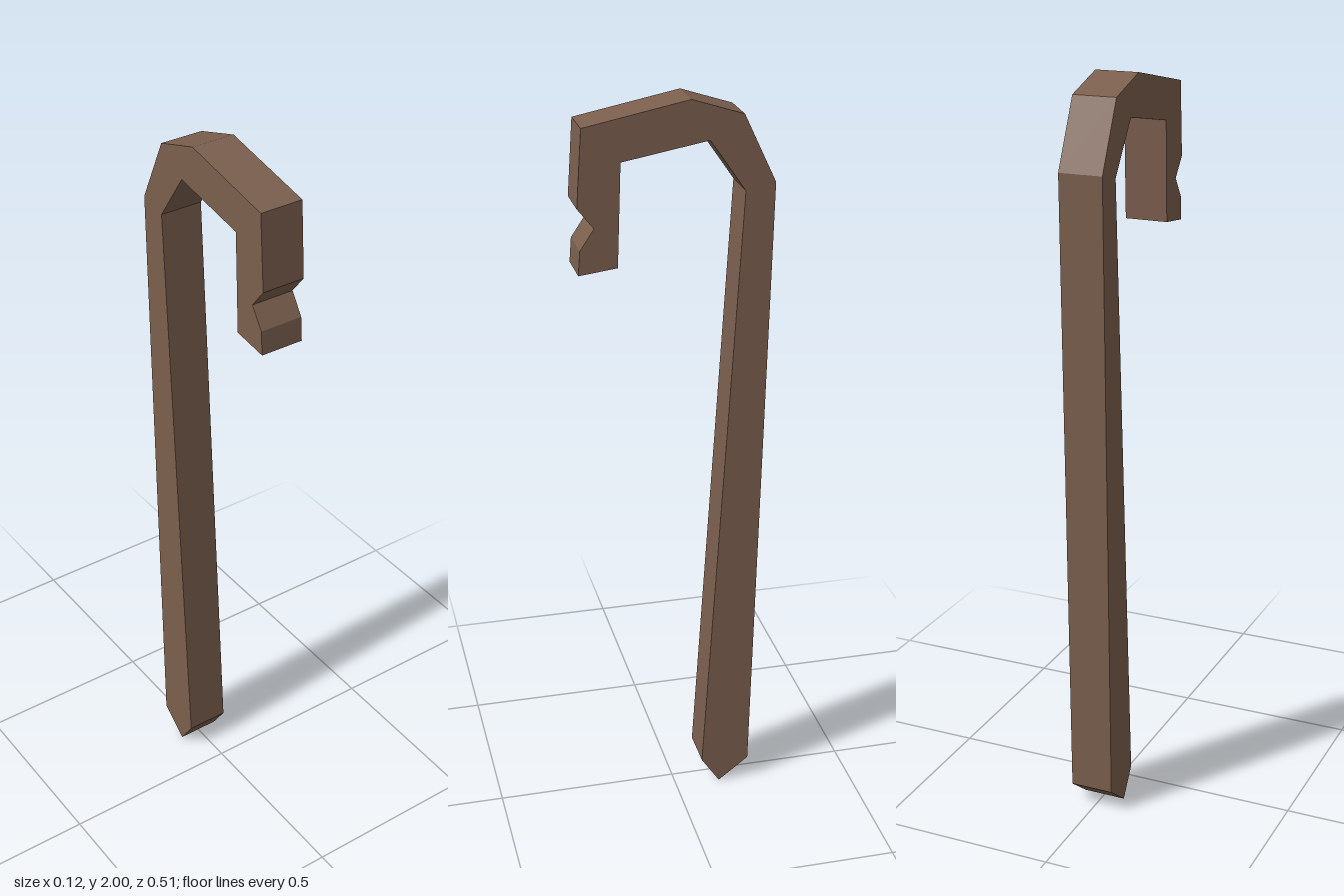
import * as THREE from 'three';

export function createModel() {
  const group = new THREE.Group();
  group.name = 'cane';

  const wood = new THREE.MeshStandardMaterial({ color: 0x7b5f4e });
  wood.name = 'brown wood';

  // Side outline of the cane as [z, y]
  const outline = [
    // outer edge: over the hook and down the back of the shaft
    [0.24, 1.945], [-0.035, 2], [-0.17, 1.957], [-0.254, 1.78], [-0.211, 0.066],
    // pointed foot
    [-0.126, 0], [-0.075, 0.077],
    // inner edge: up the shaft and under the hook
    [-0.176, 1.762], [-0.083, 1.896], [0.143, 1.855], [0.153, 1.586],
    // hook tip with its notch
    [0.254, 1.573], [0.249, 1.637], [0.212, 1.692], [0.254, 1.745],
  ];
  const shape = new THREE.Shape(outline.map(([z, y]) => new THREE.Vector2(z, y)));

  // Extrude across the width, then turn so the hook faces +z
  const width = 0.118;
  const geometry = new THREE.ExtrudeGeometry(shape, { depth: width, bevelEnabled: false });
  geometry.translate(0, 0, -width / 2);
  geometry.rotateY(-Math.PI / 2);

  const cane = new THREE.Mesh(geometry, wood);
  cane.name = 'hookedShaft';
  group.add(cane);
  return group;
}
